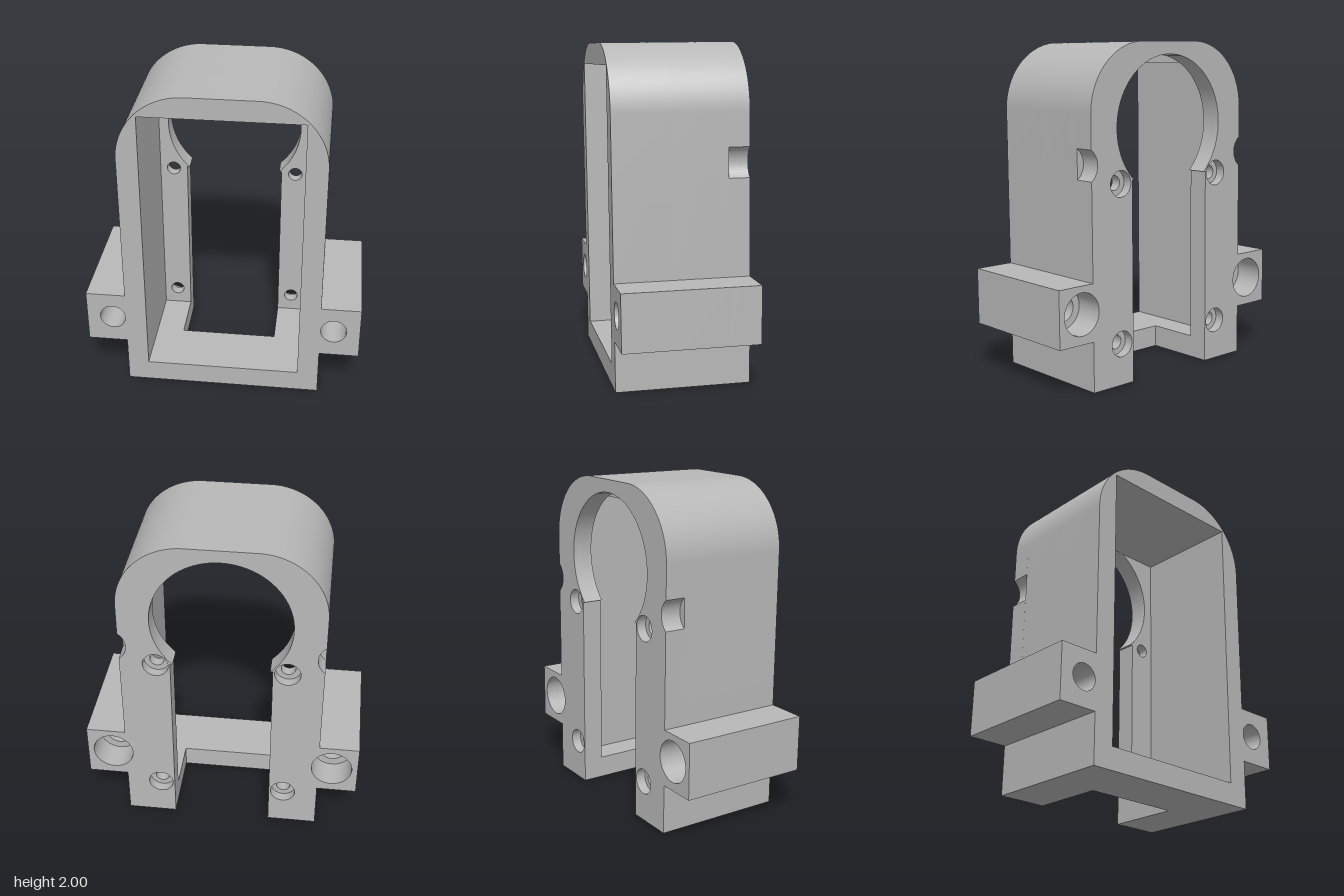
import * as THREE from 'three';
import { toCreasedNormals } from 'three/addons/utils/BufferGeometryUtils.js';

const W = 0.605, H = 1.99, R = 0.4;              // outer shell
const CAV = 0.475, FLOOR = 0.135, CEIL = 1.862;  // inner cavity
const SLOT = 0.302, SLOT_TOP = 1.2;              // slot in the back wall
const EAR = 0.848, EAR_LOW = 0.3, EAR_TOP = 0.64;

// Outer outline with ears, counter-clockwise from bottom right to bottom left
function outerOutline(shape, startX, sideNotch) {
  const r = 0.11, cx = 0.67, cy = 1.305, b = 0.943;
  shape.moveTo(startX, 0);
  shape.lineTo(W, 0);
  shape.lineTo(W, EAR_LOW);
  shape.lineTo(EAR, EAR_LOW);
  shape.lineTo(EAR, EAR_TOP);
  shape.lineTo(W, EAR_TOP);
  if (sideNotch) shape.absarc(cx, cy, r, Math.PI + b, Math.PI - b, true);
  shape.lineTo(W, H - R);
  shape.absarc(W - R, H - R, R, 0, Math.PI / 2, false);
  shape.lineTo(R - W, H);
  shape.absarc(R - W, H - R, R, Math.PI / 2, Math.PI, false);
  if (sideNotch) shape.absarc(-cx, cy, r, b, -b, true);
  shape.lineTo(-W, EAR_TOP);
  shape.lineTo(-EAR, EAR_TOP);
  shape.lineTo(-EAR, EAR_LOW);
  shape.lineTo(-W, EAR_LOW);
  shape.lineTo(-W, 0);
  shape.lineTo(-startX, 0);
}

function addHoles(shape, x, y, r) {
  for (const s of [-1, 1]) {
    const hole = new THREE.Path();
    hole.absarc(s * x, y, r, 0, Math.PI * 2, true);
    shape.holes.push(hole);
  }
}

// Closed frame around the cavity
function frontShape() {
  const shape = new THREE.Shape();
  outerOutline(shape, SLOT, false);
  const hole = new THREE.Path();
  hole.moveTo(-CAV, FLOOR);
  hole.lineTo(-CAV, CEIL);
  hole.lineTo(CAV, CEIL);
  hole.lineTo(CAV, FLOOR);
  shape.holes.push(hole);
  return shape;
}

// Frame with the floor cut open
function middleShape() {
  const shape = new THREE.Shape();
  outerOutline(shape, SLOT, false);
  shape.lineTo(-SLOT, FLOOR);
  shape.lineTo(-CAV, FLOOR);
  shape.lineTo(-CAV, CEIL);
  shape.lineTo(CAV, CEIL);
  shape.lineTo(CAV, FLOOR);
  shape.lineTo(SLOT, FLOOR);
  return shape;
}

// Back wall with keyhole opening, side notches and screw holes
function backShape(screwR) {
  const shape = new THREE.Shape(), a = 0.808;
  outerOutline(shape, SLOT, true);
  shape.lineTo(-SLOT, SLOT_TOP);
  shape.absarc(0, 1.5, 0.415, Math.PI + a, -a, true);
  shape.lineTo(SLOT, SLOT_TOP);
  for (const y of [0.247, 1.186]) addHoles(shape, 0.39, y, screwR);
  return shape;
}

export function createModel() {
  const grey = new THREE.MeshStandardMaterial({ color: 0xb8b8b8 });
  grey.name = 'grey plastic';
  const model = new THREE.Group();
  model.name = 'housing';

  // Layers along the depth: name, outline, front z, back z, ear hole radius
  const layers = [
    ['frontFrame', frontShape(), 0.4, 0.05, 0.079],
    ['middleFrame', middleShape(), 0.05, -0.22, 0.079],
    ['boredFrame', middleShape(), -0.22, -0.275, 0.125],
    ['backWall', backShape(0.043), -0.275, -0.34, 0.125],
    ['counterboredBackWall', backShape(0.077), -0.34, -0.4, 0.125],
  ];
  for (const [name, shape, front, back, earR] of layers) {
    addHoles(shape, 0.687, 0.476, earR);
    const geo = new THREE.ExtrudeGeometry(shape, {
      depth: front - back, bevelEnabled: false, curveSegments: 32,
    });
    geo.translate(0, 0, back);
    const mesh = new THREE.Mesh(toCreasedNormals(geo, 0.5), grey);
    mesh.name = name;
    model.add(mesh);
  }

  // The housing stands slightly turned and tilted
  model.rotation.set(0.012, 0.124, 0, 'YXZ');
  model.position.set(0, 0.005, -0.006);
  return model;
}
